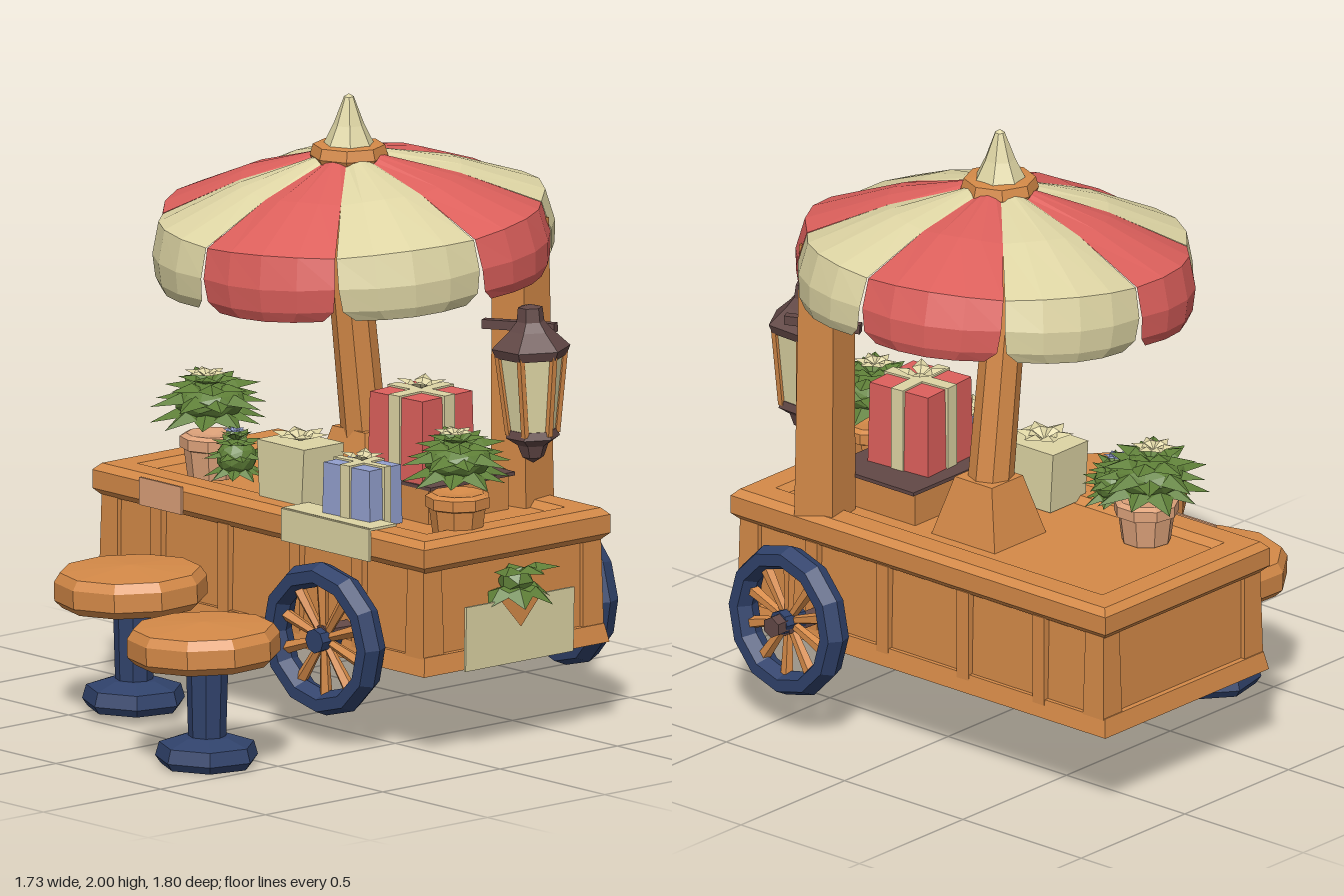
import * as THREE from 'three';

const paint = (name, color) => {
  const m = new THREE.MeshStandardMaterial({ color, flatShading: true, side: THREE.DoubleSide });
  m.name = name;
  return m;
};
const wood = paint('orange wood', 0xd58a48);
const clay = paint('pale clay', 0xdda27a);
const navy = paint('navy', 0x30426b);
const cream = paint('cream', 0xded5a4);
const red = paint('red', 0xdd605c);
const green = paint('leaf green', 0x5f8038);
const brown = paint('dark brown', 0x624846);
const blue = paint('pale blue', 0x929fcd);

// Helpers
function add(parent, name, geo, mat, x = 0, y = 0, z = 0, rx = 0, ry = 0, rz = 0) {
  const m = new THREE.Mesh(geo, mat);
  m.name = name;
  m.position.set(x, y, z);
  m.rotation.set(rx, ry, rz);
  parent.add(m);
  return m;
}
function part(parent, name, x = 0, y = 0, z = 0) {
  const g = new THREE.Group();
  g.name = name;
  g.position.set(x, y, z);
  parent.add(g);
  return g;
}
const box = (w, h, d) => new THREE.BoxGeometry(w, h, d);
const cyl = (rt, rb, h, n = 8) => new THREE.CylinderGeometry(rt, rb, h, n);
const lathe = (pts, n) => new THREE.LatheGeometry(pts.map(p => new THREE.Vector2(...p)), n);
function surface(points, index) {
  const g = new THREE.BufferGeometry();
  g.setAttribute('position', new THREE.Float32BufferAttribute(points, 3));
  g.setIndex(index);
  g.computeVertexNormals();
  return g;
}
// Box whose top is scaled
function taperBox(w, h, d, sx, sz) {
  const g = box(w, h, d), p = g.attributes.position;
  for (let i = 0; i < p.count; i++) if (p.getY(i) > 0) p.setXYZ(i, p.getX(i) * sx, p.getY(i), p.getZ(i) * sz);
  g.computeVertexNormals();
  return g;
}
// Folded leaf pointing along +z
const leaf = (l, w) => surface(
  [0, 0, 0, -w, 0, l * 0.5, w, 0, l * 0.5, 0, l * 0.13, l * 0.5, 0, -l * 0.08, l],
  [0, 1, 3, 0, 3, 2, 1, 4, 3, 3, 4, 2]);

// Rings of leaves around a core, with a flower on top
function plant(root, name, x, y, z, r, h, bloom) {
  const g = part(root, name, x, y, z);
  add(g, 'leafCore', new THREE.IcosahedronGeometry(r * 0.6, 1), green).scale.y = h / r;
  const rings = [[9, -0.35, 0.95, -0.2], [9, 0, 1, 0.12], [7, 0.3, 0.82, 0.4], [5, 0.5, 0.6, 0.75]];
  rings.forEach(([n, dy, s, lift], k) => {
    for (let i = 0; i < n; i++) {
      const m = add(g, 'leaf', leaf(r * s * (i % 2 ? 0.92 : 1.05), r * 0.23), green, 0, dy * h, 0);
      m.rotation.order = 'YXZ';
      m.rotation.set(-lift * h / r, (i + k * 0.5) / n * Math.PI * 2, 0);
    }
  });
  for (let i = 0; i < 6; i++) {
    const m = add(g, 'petal', leaf(r * 0.38, r * 0.13), bloom, 0, h * 0.82, r * 0.08);
    m.rotation.order = 'YXZ';
    m.rotation.set(-0.3, i * Math.PI / 3, 0);
  }
}

// Wrapped box with crossed ribbons and a bow
function gift(root, name, w, h, d, mat, x, y, z, turn) {
  const g = part(root, name, x, y, z);
  g.rotation.y = turn;
  add(g, 'wrapping', taperBox(w, h, d, 0.96, 0.96), mat, 0, h / 2, 0);
  add(g, 'ribbonFront', box(w * 0.2, h + 0.012, d + 0.012), cream, 0, h / 2, 0);
  add(g, 'ribbonSide', box(w + 0.012, h + 0.012, d * 0.2), cream, 0, h / 2, 0);
  for (let i = 0; i < 4; i++) {
    const m = add(g, 'bowLoop', leaf(w * 0.36, w * 0.12), cream, 0, h + 0.008, 0);
    m.rotation.order = 'YXZ';
    m.rotation.set(-0.45, i * Math.PI / 2 + 0.6, 0);
  }
}

function stool(root, x, z, lift) {
  const g = part(root, 'stool', x, lift, z);
  add(g, 'stoolSeat', lathe([[0, 0.34], [0.22, 0.335], [0.245, 0.36], [0.245, 0.42], [0.225, 0.45], [0, 0.465]], 10), wood, 0, 0, 0, 0.02, 0, 0.02);
  add(g, 'stoolStem', cyl(0.068, 0.06, 0.28), navy, 0, 0.21, 0);
  add(g, 'stoolFoot', lathe([[0, 0], [0.15, 0], [0.168, 0.025], [0.155, 0.07], [0.08, 0.095], [0, 0.095]], 7), navy);
}

function wheel(root, x, y, z, turn) {
  const g = part(root, 'wheel', x, y, z);
  g.rotation.set(0.04, turn, 0);
  add(g, 'tyre', new THREE.TorusGeometry(0.212, 0.04, 6, 12), navy).scale.z = 1.3;
  for (let i = 0; i < 10; i++) {
    const a = i / 10 * Math.PI * 2;
    add(g, 'spoke', cyl(0.022, 0.014, 0.17, 5), wood, -Math.sin(a) * 0.11, Math.cos(a) * 0.11, 0, 0, 0, a);
  }
  add(g, 'hub', cyl(0.04, 0.04, 0.09), navy, 0, 0, 0, Math.PI / 2);
}

function cart(root) {
  const g = part(root, 'cart', -0.04, 0, -0.295);
  add(g, 'bodyPanels', taperBox(1.52, 0.34, 0.74, 0.99, 0.98), wood, 0, 0.45, 0);
  add(g, 'bottomTrim', taperBox(1.58, 0.06, 0.79, 0.985, 0.97), wood, 0, 0.3, 0);
  for (const sx of [-1, 1]) for (const sz of [-1, 1])
    add(g, 'cornerPost', taperBox(0.09, 0.32, 0.09, 0.85, 0.85), wood, sx * 0.73, 0.45, sz * 0.34);
  for (const sz of [-1, 1]) for (const x of [-0.5, -0.18, 0.16, 0.46])
    add(g, 'batten', box(0.05, 0.3, 0.03), wood, x, 0.46, sz * 0.372);
  // Counter frame with a sunken floor
  const rect = (C, w, d) => {
    const s = new C();
    s.moveTo(-w, -d); s.lineTo(w, -d); s.lineTo(w, d); s.lineTo(-w, d); s.closePath();
    return s;
  };
  const frame = rect(THREE.Shape, 0.77, 0.375);
  frame.holes.push(rect(THREE.Path, 0.69, 0.295));
  const rim = new THREE.ExtrudeGeometry(frame, { depth: 0.06, bevelSize: 0.022, bevelThickness: 0.022, bevelSegments: 1 });
  add(g, 'counterRim', rim, wood, 0, 0.685, 0, Math.PI / 2);
  add(g, 'counterFloor', box(1.46, 0.06, 0.68), wood, 0, 0.655, 0);
}

function lantern(root) {
  const g = part(root, 'lantern', 0.67, 0, -0.46);
  g.rotation.z = 0.03;
  const turn = Math.PI / 6;
  add(g, 'lanternGlass', cyl(0.105, 0.075, 0.26, 6), cream, 0, 1.1, 0, 0, turn);
  for (let i = 0; i < 6; i++) {
    const a = turn + i * Math.PI / 3, s = Math.sin(a), c = Math.cos(a);
    add(g, 'lanternBar', box(0.018, 0.27, 0.018), wood, s * 0.092, 1.1, c * 0.092, c * 0.115, 0, -s * 0.115);
  }
  add(g, 'lanternCap', lathe([[0, 1.385], [0.04, 1.375], [0.045, 1.33], [0.07, 1.3], [0.128, 1.245], [0.115, 1.215], [0, 1.225]].reverse(), 6), brown, 0, 0, 0, 0, turn);
  add(g, 'lanternBase', lathe([[0, 0.87], [0.035, 0.89], [0.05, 0.93], [0.088, 0.955], [0.08, 0.98], [0, 0.98]], 6), brown, 0, 0, 0, 0, turn);
  add(g, 'lanternArm', box(0.25, 0.03, 0.03), brown, -0.12, 1.29, -0.06, 0, 0.45);
}

// One canopy panel with its hanging flap; rows hold radius, height, edge inset
function canopyPanel(k) {
  const rows = [[0.09, 0.0, 0], [0.35, -0.07, 0], [0.605, -0.175, 0.005], [0.63, -0.27, 0.012], [0.625, -0.345, 0.03], [0.61, -0.38, 0.11]];
  const n = 4, pts = [], idx = [];
  rows.forEach(([r, y, inset], j) => {
    for (let i = 0; i <= n; i++) {
      const t = i / n, bulge = Math.sin(t * Math.PI);
      const a = (k + inset + t * (1 - 2 * inset)) * Math.PI / 4 - 0.03;
      const rr = r * (1 + bulge * 0.035);
      pts.push(rr * Math.cos(a), y + (j < 3 ? bulge * 0.012 : 0), -rr * Math.sin(a));
      if (j && i) {
        const d = j * (n + 1) + i, b = d - n - 1;
        idx.push(b - 1, d - 1, d, b - 1, d, b);
      }
    }
  });
  return surface(pts, idx);
}

function parasol(root) {
  const g = part(root, 'parasol', 0.01, 1.8, -0.24);
  const canopy = part(g, 'canopy');
  canopy.rotation.x = 0.075;
  for (let k = 0; k < 8; k++) add(canopy, 'canopyPanel', canopyPanel(k), k % 2 ? cream : red);
  add(g, 'collar', lathe([[0, -0.03], [0.11, -0.03], [0.125, 0], [0.115, 0.035], [0, 0.045]], 8), wood);
  add(g, 'finial', lathe([[0.085, 0.03], [0.05, 0.1], [0.016, 0.19], [0, 0.2]], 7), cream);
  // Leaning main post with a flared foot, and a straight rear post
  add(root, 'mainPost', cyl(0.066, 0.075, 1.08), wood, -0.075, 1.24, -0.335, 0.12);
  add(root, 'mainPostFoot', taperBox(0.27, 0.2, 0.25, 0.58, 0.6), wood, -0.075, 0.78, -0.39);
  add(root, 'rearPost', taperBox(0.14, 0.98, 0.15, 0.9, 0.9), wood, 0.43, 1.12, -0.6, 0.01, 0.2);
}

export function createModel() {
  const root = new THREE.Group();
  root.name = 'marketCart';
  cart(root);
  parasol(root);
  lantern(root);
  wheel(root, 0.345, 0.34, 0.165, 0.05);
  wheel(root, 0.42, 0.375, -0.79, -0.1);
  add(root, 'axle', cyl(0.03, 0.03, 1.0, 6), brown, 0.38, 0.36, -0.32, Math.PI / 2, 0, 0.07);
  add(root, 'axleCap', cyl(0.035, 0.035, 0.05, 6), brown, 0.42, 0.375, -0.85, Math.PI / 2);
  stool(root, -0.36, 0.345, 0.025);
  stool(root, 0.33, 0.65, 0);

  // Potted plants
  const pot = [[0, 0], [0.08, 0], [0.092, 0.09], [0.105, 0.095], [0.105, 0.13], [0.085, 0.14], [0, 0.13]];
  add(root, 'leftPot', lathe(pot, 9), clay, -0.495, 0.69, -0.11);
  add(root, 'rightPot', lathe(pot, 9), wood, 0.62, 0.675, -0.16);
  plant(root, 'leftPlant', -0.53, 0.925, -0.13, 0.195, 0.1, cream);
  plant(root, 'rightPlant', 0.62, 0.92, -0.16, 0.185, 0.1, cream);
  plant(root, 'smallPlant', -0.28, 0.8, -0.02, 0.11, 0.1, blue);

  // Wares on the counter
  add(root, 'giftCrate', box(0.34, 0.13, 0.34), wood, 0.31, 0.735, -0.33);
  add(root, 'crateLid', box(0.36, 0.012, 0.36), brown, 0.31, 0.8, -0.34);
  gift(root, 'redGift', 0.24, 0.27, 0.24, red, 0.31, 0.805, -0.28, 0.08);
  gift(root, 'blueGift', 0.21, 0.19, 0.15, blue, 0.32, 0.69, -0.02, 0.08);
  const bag = part(root, 'paperBag', -0.02, 0.69, -0.06);
  add(bag, 'bagBody', taperBox(0.2, 0.2, 0.17, 1.12, 1), cream, 0, 0.1, 0);
  for (let i = 0; i < 6; i++) {
    const m = add(bag, 'bagFrill', leaf(0.1, 0.035), cream, 0, 0.2, 0);
    m.rotation.order = 'YXZ';
    m.rotation.set(-0.35, i * Math.PI / 3, 0);
  }

  // Cloth over the front edge and a banner with a sprig on the end
  add(root, 'clothTop', box(0.42, 0.008, 0.11), cream, 0.29, 0.711, 0.05);
  add(root, 'clothFront', box(0.42, 0.105, 0.008), cream, 0.29, 0.66, 0.108);
  add(root, 'clayPatch', box(0.2, 0.09, 0.008), clay, -0.5, 0.655, 0.105);
  add(root, 'endBanner', box(0.009, 0.21, 0.46), cream, 0.772, 0.375, -0.285, 0, 0, -0.02);
  const tri = surface([0, 0.1, -0.09, 0, 0.1, 0.09, 0, 0, 0], [0, 1, 2]);
  add(root, 'bannerNotch', tri, wood, 0.781, 0.385, -0.285, 0, 0, -0.02);
  for (let i = 0; i < 7; i++) {
    const a = (i - 3) / 3;
    const m = add(root, 'sprigLeaf', leaf(0.15, 0.05), green, 0.745, 0.525 + (i % 2) * 0.03, -0.285);
    m.rotation.order = 'YXZ';
    m.rotation.set(0.35 - (i % 2) * 0.55, Math.PI / 2 + a * 1.35, 0);
  }
  add(root, 'sprigCore', new THREE.IcosahedronGeometry(0.06, 0), green, 0.755, 0.53, -0.285);
  return root;
}
